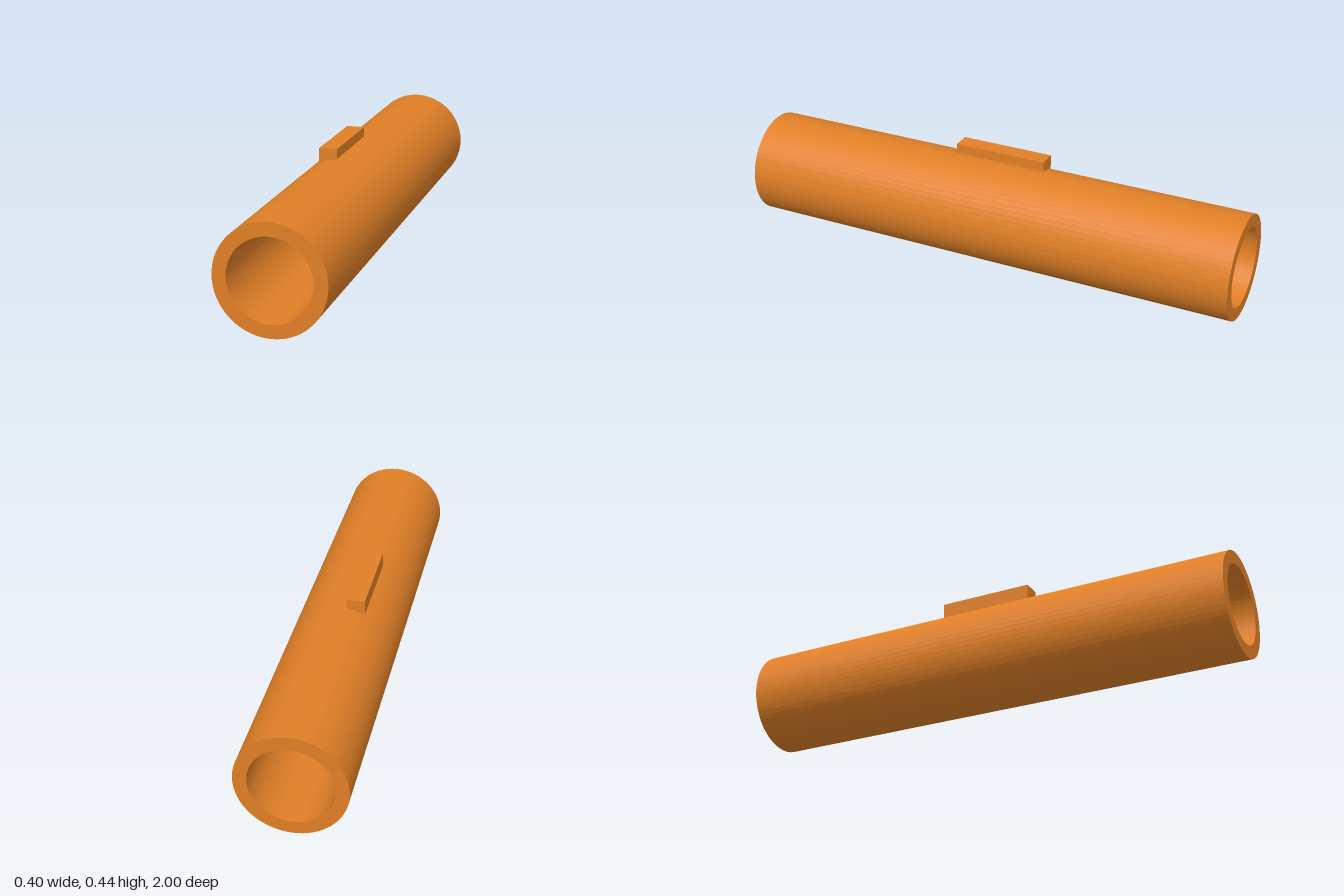
import * as THREE from 'three';

const OUTER = 0.2015, INNER = 0.152, LENGTH = 2;

export function createModel() {
  const model = new THREE.Group();
  model.name = 'pipe';
  const material = new THREE.MeshStandardMaterial({ color: 0xe07f26, flatShading: true });

  // Hollow pipe: a ring extruded along z
  const ring = new THREE.Shape().absarc(0, 0, OUTER, 0, Math.PI * 2, false);
  ring.holes.push(new THREE.Path().absarc(0, 0, INNER, 0, Math.PI * 2, true));
  const tube = new THREE.Mesh(
    new THREE.ExtrudeGeometry(ring, { depth: LENGTH, bevelEnabled: false, curveSegments: 32 }),
    material
  );
  tube.name = 'tube';
  tube.position.set(0, OUTER, -LENGTH / 2);
  model.add(tube);

  // Plain raised bar on top, sunk into the pipe wall
  const bottom = 0.37, top = 0.44;
  const bar = new THREE.Mesh(new THREE.BoxGeometry(0.07, top - bottom, 0.37), material);
  bar.name = 'raisedBar';
  bar.position.set(-0.055, (top + bottom) / 2, 0);
  model.add(bar);

  return model;
}
